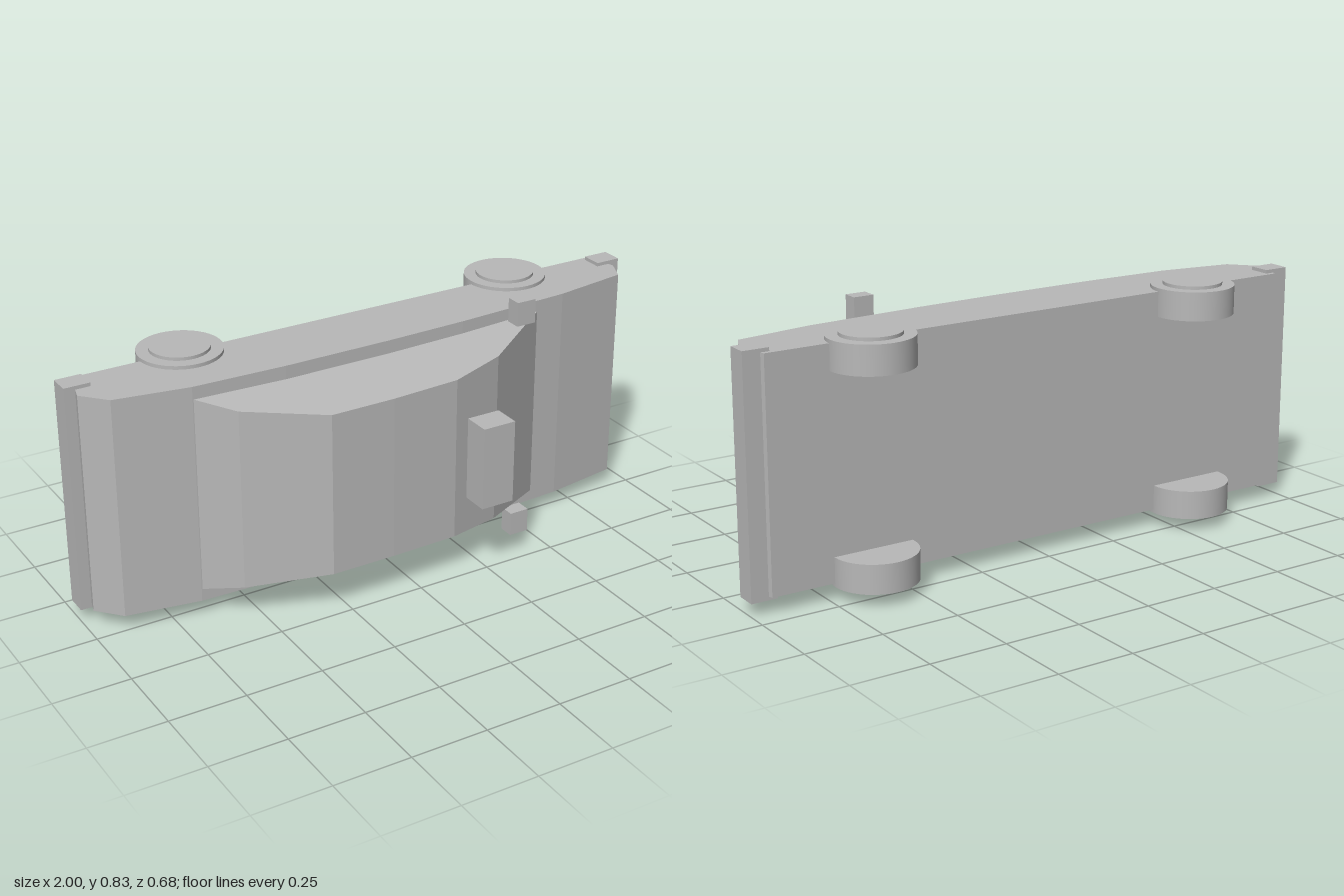
import * as THREE from 'three';

// A simple car resting on its side: length along x, width along y, roof towards +z.
const MID = 0.4175; // centre plane of the car

export function createModel() {
  const car = new THREE.Group();
  car.name = 'car';
  const grey = new THREE.MeshStandardMaterial({ color: 0xb8b8b8 });
  grey.name = 'plain grey';

  const add = (name, geometry) => {
    const mesh = new THREE.Mesh(geometry, grey);
    mesh.name = name;
    car.add(mesh);
    return mesh;
  };

  const box = (name, x0, x1, y0, y1, z0, z1) =>
    add(name, new THREE.BoxGeometry(x1 - x0, y1 - y0, z1 - z0))
      .position.set((x0 + x1) / 2, (y0 + y1) / 2, (z0 + z1) / 2);

  // Side profile in x and z, extruded across the width and centred on y = 0
  const extrudeProfile = (points, width) => {
    const shape = new THREE.Shape(points.map(([x, z]) => new THREE.Vector2(x, -z)));
    return new THREE.ExtrudeGeometry(shape, { depth: width, bevelEnabled: false })
      .translate(0, 0, -width / 2)
      .rotateX(-Math.PI / 2);
  };

  // Lower body
  add('body', extrudeProfile([
    [-0.94, -0.2], [-0.975, -0.075], [-0.905, 0.003], [-0.665, 0.043], [-0.36, 0.053],
    [0.0, 0.051], [0.275, 0.043], [0.675, 0.02], [0.93, -0.02], [0.965, -0.095], [0.94, -0.2],
  ], 0.726)).position.y = MID;

  // Cabin, its sides leaning inwards towards the roof
  const cabin = extrudeProfile([
    [-0.665, 0.04], [-0.565, 0.138], [-0.315, 0.249], [-0.1, 0.248],
    [0.13, 0.238], [0.318, 0.182], [0.575, 0.024],
  ], 2);
  const p = cabin.attributes.position;
  for (let i = 0; i < p.count; i++) {
    p.setY(i, Math.sign(p.getY(i)) * (0.325 - 0.25 * (p.getZ(i) - 0.03)));
  }
  cabin.computeVertexNormals();
  add('cabin', cabin).position.y = MID;

  // Bumpers and roof sign
  box('rearBumper', -1, -0.915, 0.043, 0.792, -0.185, -0.115);
  box('frontBumper', 0.915, 1, 0.043, 0.792, -0.185, -0.115);
  box('roofSign', 0.165, 0.278, 0.28, 0.556, 0.249, 0.34);

  // Wheels with hub caps, and door mirrors, on both sides
  for (const side of [-1, 1]) {
    for (const x of [-0.585, 0.6]) {
      add('wheel', new THREE.CylinderGeometry(0.134, 0.134, 0.093, 48))
        .position.set(x, MID + side * 0.328, -0.205);
      add('hubCap', new THREE.CylinderGeometry(0.095, 0.095, 0.02, 48))
        .position.set(x, MID + side * 0.375, -0.205);
    }
    const y = MID + side * 0.376;
    box('mirror', 0.433, 0.5, y - 0.04, y + 0.04, 0.064, 0.115);
  }

  return car;
}
